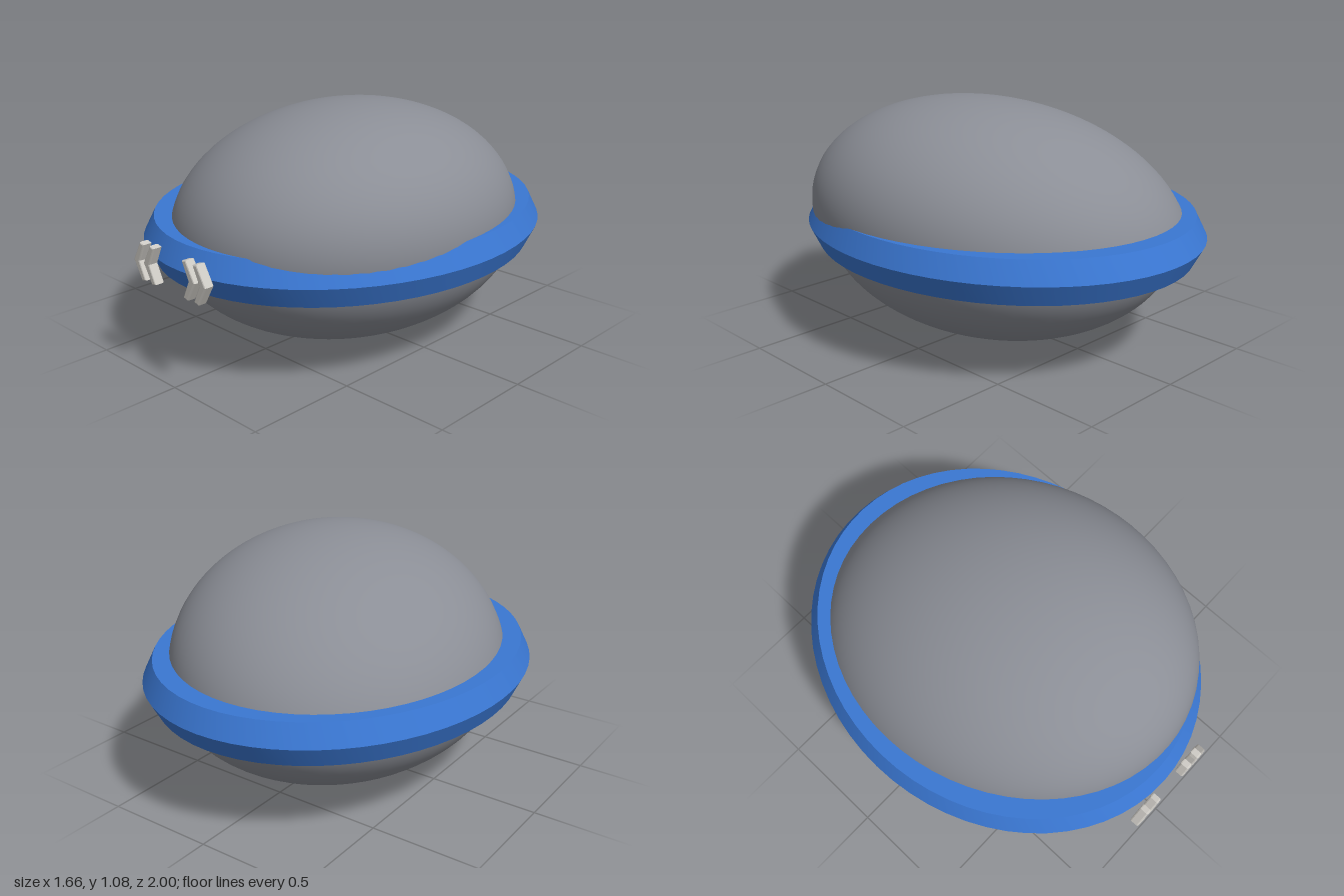
import * as THREE from 'three';
import { toCreasedNormals } from 'three/addons/utils/BufferGeometryUtils.js';

const MID = 0.505; // height of the ring's widest edge

const mat = (name, color) => {
  const m = new THREE.MeshStandardMaterial({ color });
  m.name = name;
  return m;
};

export function createModel() {
  const group = new THREE.Group();
  const grey = mat('shell grey', 0x8b8e96);
  const blue = mat('ring blue', 0x3a77d2);
  const pale = mat('arrow pale grey', 0xcfccc6);

  const add = (name, geometry, material) => {
    const mesh = new THREE.Mesh(geometry, material);
    mesh.name = name;
    group.add(mesh);
    return mesh;
  };

  // Half an ellipsoid, leaning by leanX / leanZ at its pole and skewed in plan
  const dome = (name, upper, [rx, ry, rz], [leanX, leanZ], skew, [cx, cz]) => {
    const g = new THREE.SphereGeometry(1, 64, 24, 0, Math.PI * 2, upper ? 0 : Math.PI / 2, Math.PI / 2);
    g.applyMatrix4(new THREE.Matrix4().set(
      rx, leanX, 0, cx,
      0, ry, 0, MID,
      skew, leanZ, rz, cz,
      0, 0, 0, 1
    ));
    add(name, g, grey);
  };
  dome('upperShell', true, [0.758, 0.57, 0.879], [0.105, 0.08], 0.0655, [0.015, -0.01]);
  dome('lowerShell', false, [0.742, 0.505, 0.871], [0.015, 0.01], 0, [0.015, -0.01]);

  // Oval ring with a V-shaped outer edge
  const profile = [[0.62, -0.094], [0.785, -0.094], [0.828, 0], [0.785, 0.094], [0.62, 0.094], [0.62, -0.094]]
    .map(([r, y]) => new THREE.Vector2(r, y));
  const ringGeo = new THREE.LatheGeometry(profile, 64);
  ringGeo.scale(1, 1, 1.18);
  const ring = add('ring', toCreasedNormals(ringGeo, 0.5), blue);
  ring.position.set(0, MID, -0.0225);

  // Two pairs of chevrons at the front, pointing outward
  const chevron = (dir, tip) => {
    const pts = [[0, 0], [-0.046, 0.078], [-0.062, 0.074], [-0.026, 0], [-0.062, -0.074], [-0.046, -0.078]]
      .map(([x, y]) => new THREE.Vector2(dir * x, y));
    const g = new THREE.ExtrudeGeometry(new THREE.Shape(pts), {
      depth: 0.03, bevelEnabled: true, bevelSize: 0.006, bevelThickness: 0.007, bevelSegments: 2
    });
    const mesh = add(dir > 0 ? 'leftArrow' : 'rightArrow', g, pale);
    mesh.position.set(dir * tip, MID, 0.963);
  };
  for (const dir of [-1, 1]) for (const tip of [0.16, 0.227]) chevron(dir, tip);

  return group;
}
